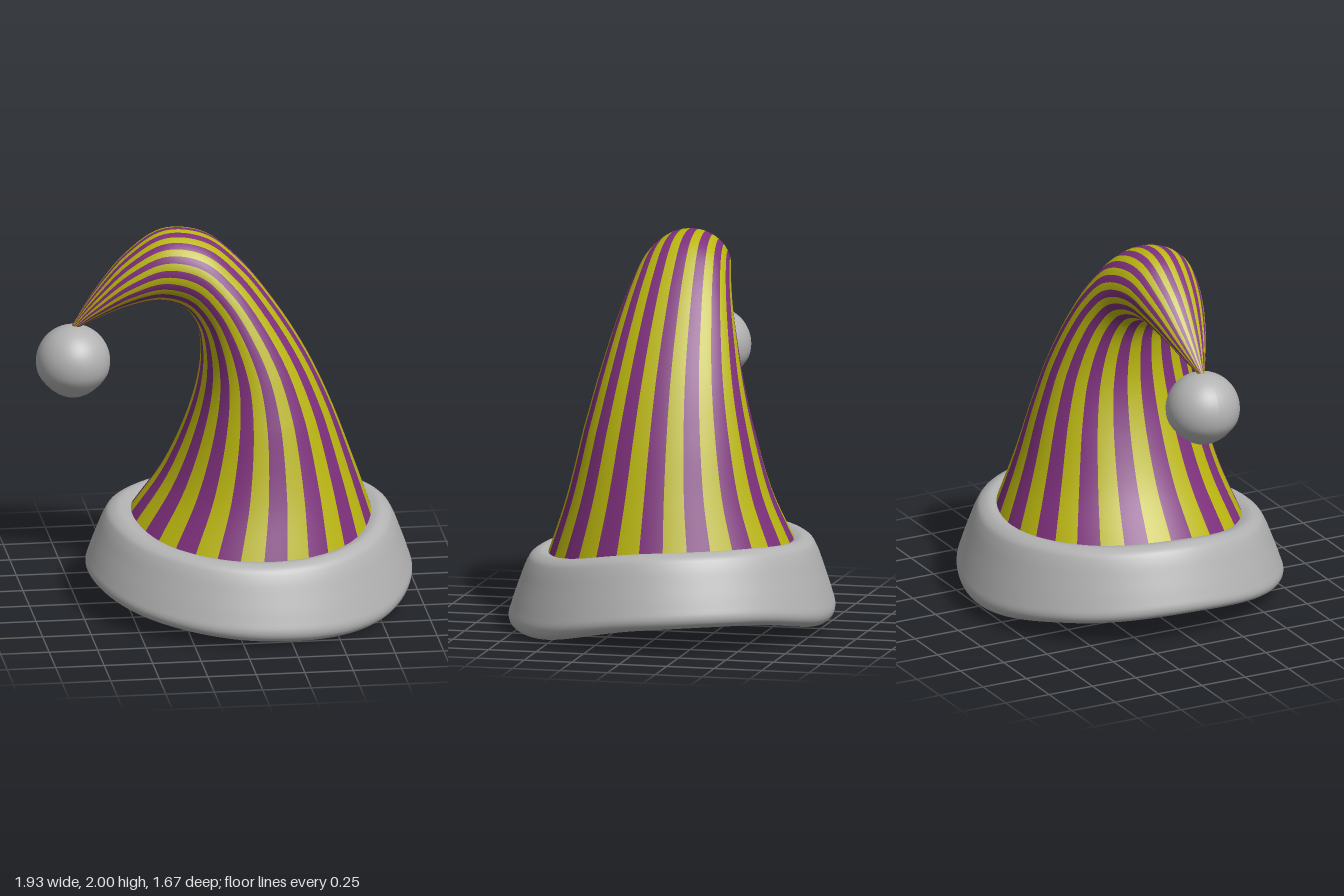
import * as THREE from 'three';

const SEG = 192; // points around every ring
const v = (x, y, z = 0) => new THREE.Vector3(x, y, z);
const spline = (pts) => new THREE.CatmullRomCurve3(pts);

// Smooth function of the angle around the hat through eight heights, from +x towards +z
function around(values) {
  const curve = new THREE.CatmullRomCurve3(values.map((h) => v(0, h)), true, 'catmullrom', 0.5);
  return (a) => curve.getPoint(a / (2 * Math.PI)).y;
}
const brimBottom = around([0.11, 0.005, 0.015, 0.075, 0.145, 0.105, 0.045, 0.125]);
const brimTop = around([0.49, 0.415, 0.4, 0.435, 0.495, 0.485, 0.475, 0.5]);

// Closed rings joined along their length; point(t, angle) gives the surface
function ringSurface(rows, point) {
  const pos = [], quads = [];
  for (let i = 0; i <= rows; i++) {
    for (let j = 0; j < SEG; j++) pos.push(...point(i / rows, (j / SEG) * 2 * Math.PI).toArray());
  }
  for (let i = 0; i < rows; i++) {
    for (let j = 0; j < SEG; j++) {
      const k = (j + 1) % SEG;
      const a = i * SEG + j, b = i * SEG + k, c = a + SEG, d = b + SEG;
      quads.push({ j, tris: [a, c, b, b, c, d] });
    }
  }
  const geo = new THREE.BufferGeometry();
  geo.setAttribute('position', new THREE.Float32BufferAttribute(pos, 3));
  geo.setIndex(quads.flatMap((q) => q.tris));
  geo.computeVertexNormals();
  return { geo, quads };
}

function addMesh(parent, name, geo, color) {
  const mat = new THREE.MeshStandardMaterial({ color, side: THREE.DoubleSide });
  const mesh = new THREE.Mesh(geo, mat);
  mesh.name = name;
  parent.add(mesh);
  return mesh;
}

// Bent cone: inner and outer edges of the bend, z of the outer one is the half depth
function stripedCone() {
  const inner = spline([
    v(-0.475, 0.46), v(-0.31, 0.7), v(-0.185, 0.98), v(-0.125, 1.2), v(-0.115, 1.36), v(-0.14, 1.49),
    v(-0.21, 1.585), v(-0.33, 1.625), v(-0.48, 1.605), v(-0.64, 1.545), v(-0.765, 1.48),
  ]);
  const outer = spline([
    v(0.76, 0.45, 0.635), v(0.665, 0.73, 0.53), v(0.545, 1.06, 0.445), v(0.42, 1.33, 0.383),
    v(0.26, 1.59, 0.33), v(0.08, 1.82, 0.28), v(-0.1, 1.965, 0.24), v(-0.31, 1.99, 0.2),
    v(-0.5, 1.87, 0.155), v(-0.67, 1.67, 0.085), v(-0.785, 1.495, 0.012),
  ]);
  const shift = THREE.MathUtils.degToRad(-9.5); // where the first stripe starts
  const { geo, quads } = ringSurface(80, (t, a) => {
    const angle = a + shift;
    const p = inner.getPoint(t), q = outer.getPoint(t);
    const s = 0.5 + 0.5 * Math.cos(angle);
    const point = v(p.x + (q.x - p.x) * s, p.y + (q.y - p.y) * s, q.z * Math.sin(angle));
    // the hem follows the wavy brim
    const hem = brimTop((angle + 2 * Math.PI) % (2 * Math.PI)) - 0.025;
    const base = 0.46 - 0.01 * s;
    point.y += (hem - base) * Math.max(0, 1 - t * 5);
    return point;
  });
  const group = new THREE.Group();
  group.name = 'stripedCone';
  const perStripe = SEG / 32;
  [['purpleStripes', 0x7e307c], ['yellowStripes', 0xbab610]].forEach(([name, color], n) => {
    const part = geo.clone();
    part.setIndex(quads.filter((q) => Math.floor(q.j / perStripe) % 2 === n).flatMap((q) => q.tris));
    addMesh(group, name, part, color);
  });
  return group;
}

// Brim profile: x is the radius, y the share of the height, from inside to outside
function brimGeometry() {
  const profile = spline([
    v(0.622, 0.93), v(0.597, 0.78), v(0.588, 0.6), v(0.597, 0.42), v(0.628, 0.25), v(0.675, 0.11),
    v(0.73, 0.025), v(0.777, 0), v(0.817, 0.045), v(0.835, 0.14), v(0.82, 0.3), v(0.78, 0.6),
    v(0.742, 0.85), v(0.715, 0.95), v(0.67, 1), v(0.63, 0.98), v(0.6, 0.94),
  ]);
  return ringSurface(64, (t, a) => {
    const p = profile.getPoint(t);
    const y = THREE.MathUtils.lerp(brimBottom(a), brimTop(a), p.y);
    return v(0.13 + p.x * Math.cos(a), y, p.x * Math.sin(a));
  }).geo;
}

// Ball slightly pinched and flattened underneath
function pompomGeometry() {
  const geo = new THREE.SphereGeometry(0.19, 48, 32);
  const pos = geo.attributes.position;
  for (let i = 0; i < pos.count; i++) {
    const low = Math.max(0, -pos.getY(i) / 0.19 - 0.35);
    const pinch = 1 - 0.2 * low;
    pos.setXYZ(i, pos.getX(i) * pinch, Math.max(pos.getY(i), -0.186), pos.getZ(i) * pinch);
  }
  geo.computeVertexNormals();
  return geo;
}

export function createModel() {
  const hat = new THREE.Group();
  hat.name = 'stockingHat';
  hat.add(stripedCone());
  addMesh(hat, 'brim', brimGeometry(), 0xb2b2b2);
  addMesh(hat, 'pompom', pompomGeometry(), 0xb2b2b2).position.set(-0.776, 1.31, 0.003);
  return hat;
}
